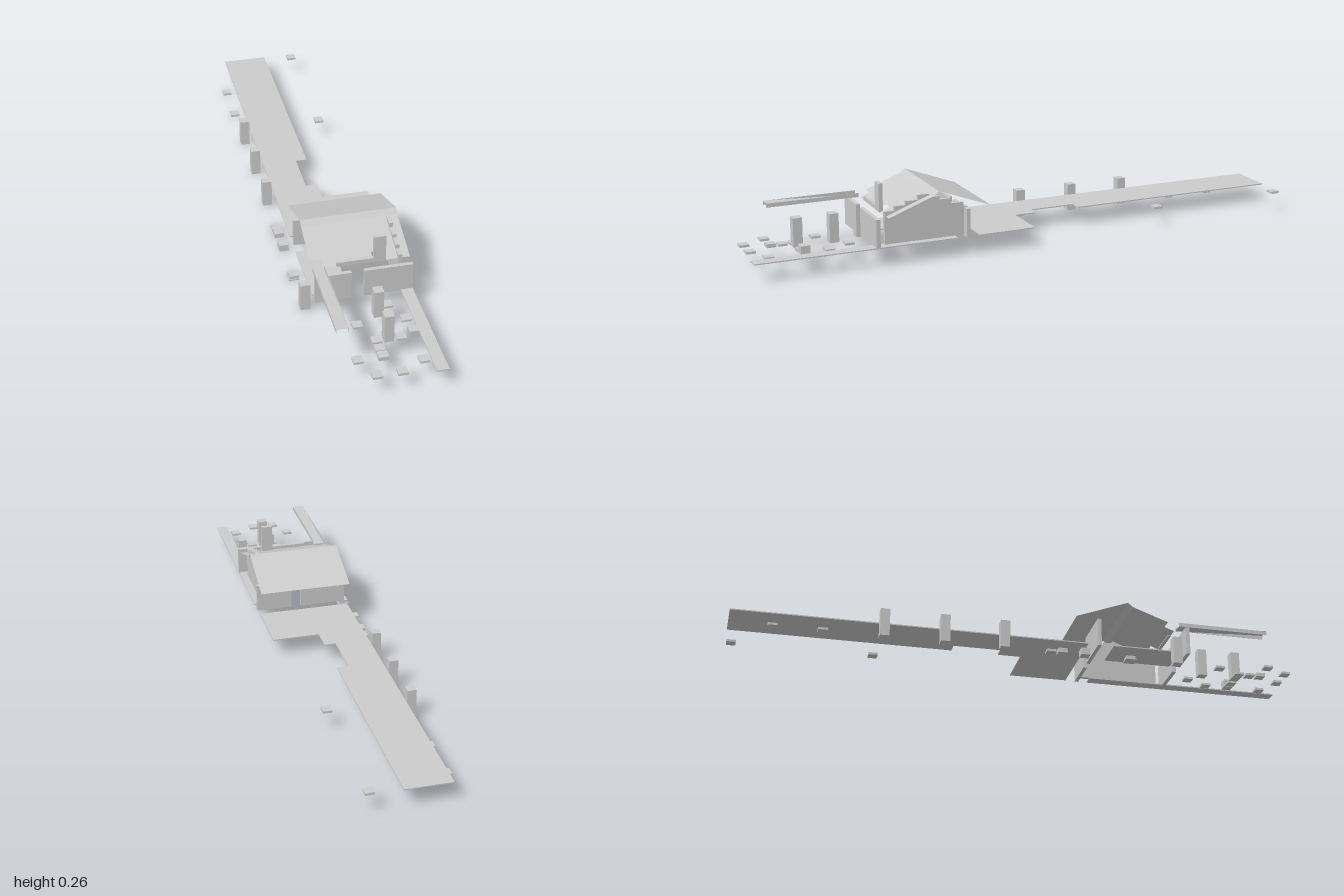
import * as THREE from 'three';

export function createModel() {
  const group = new THREE.Group();
  const stone = new THREE.MeshStandardMaterial({ color: 0xcccccc, side: THREE.DoubleSide });
  stone.name = 'paleStone';

  // Box given by its limits on each axis
  function box(name, x0, x1, y0, y1, z0, z1) {
    const m = new THREE.Mesh(new THREE.BoxGeometry(x1 - x0, y1 - y0, z1 - z0), stone);
    m.position.set((x0 + x1) / 2, (y0 + y1) / 2, (z0 + z1) / 2);
    m.name = name;
    group.add(m);
  }

  // Sloping sheet between two lines across x, given as [y, z] back and front
  function sheet(name, x0, x1, [yb, zb], [yf, zf]) {
    const g = new THREE.BufferGeometry();
    g.setAttribute('position', new THREE.Float32BufferAttribute(
      [x0, yb, zb, x0, yf, zf, x1, yf, zf, x1, yb, zb], 3));
    g.setIndex([0, 1, 2, 0, 2, 3]);
    g.computeVertexNormals();
    const m = new THREE.Mesh(g, stone);
    m.name = name;
    group.add(m);
  }

  // Walkway and yard floor, one outline with notches
  const plan = [[-0.145, -1], [0.015, -1], [0.015, -0.23], [-0.025, -0.23], [-0.025, -0.065],
    [0.015, -0.065], [0.015, 0.015], [0.18, 0.015], [0.18, 0.22], [-0.145, 0.22]];
  const floorGeo = new THREE.ExtrudeGeometry(
    new THREE.Shape(plan.map(([x, z]) => new THREE.Vector2(x, -z))), { depth: 0.004, bevelEnabled: false });
  floorGeo.rotateX(-Math.PI / 2).translate(0, 0.062, 0);
  const walkway = new THREE.Mesh(floorGeo, stone);
  walkway.name = 'walkway';
  group.add(walkway);
  box('houseFloor', -0.145, -0.02, 0.062, 0.066, 0.31, 0.55);
  box('sidePath', 0.143, 0.183, 0.062, 0.066, 0.3, 1);

  // Front and rear walls with doorways
  box('frontWallRight', -0.143, -0.022, 0.062, 0.162, 0.574, 0.588);
  box('frontWallLeft', 0.02, 0.183, 0.062, 0.162, 0.574, 0.588);
  box('innerWall', -0.062, 0.062, 0.162, 0.177, 0.535, 0.547);
  box('chimney', 0.061, 0.101, 0.162, 0.26, 0.535, 0.549);
  box('rearWallRight', -0.143, 0.02, 0.062, 0.162, 0.255, 0.268);
  box('rearWallLeft', 0.055, 0.183, 0.062, 0.162, 0.255, 0.268);

  // Stepped gable wall
  const steps = [[0.55, 0.178], [0.515, 0.193], [0.475, 0.206], [0.432, 0.222],
    [0.39, 0.21], [0.355, 0.198], [0.315, 0.18], [0.27, 0.165]];
  const gable = new THREE.Shape();
  gable.moveTo(-0.55, 0.064);
  steps.forEach(([z, y], i) => {
    gable.lineTo(-z, y);
    gable.lineTo(-(i < steps.length - 1 ? steps[i + 1][0] : 0.255), y);
  });
  gable.lineTo(-0.255, 0.064);
  const gableGeo = new THREE.ExtrudeGeometry(gable, { depth: 0.013, bevelEnabled: false });
  gableGeo.rotateY(Math.PI / 2).translate(0.143, 0, 0);
  const gableWall = new THREE.Mesh(gableGeo, stone);
  gableWall.name = 'steppedGable';
  group.add(gableWall);

  // Thin roof: rear slope, steep cap, front slope with notched eave
  const notch = [0.175, 0.51];
  sheet('rearRoof', -0.143, 0.183, [0.165, 0.18], [0.235, 0.367]);
  sheet('roofCap', -0.143, 0.183, [0.235, 0.367], [0.22, 0.385]);
  sheet('frontRoof', -0.143, 0.183, [0.22, 0.385], notch);
  sheet('eaveMiddle', -0.103, 0.061, notch, [0.162, 0.545]);
  sheet('eaveLeft', 0.101, 0.183, notch, [0.162, 0.545]);

  // Raised canopy strip with side skirts
  sheet('canopy', -0.143, -0.103, [0.162, 0.55], [0.178, 0.875]);
  for (const x of [-0.143, -0.104]) box('canopySkirt', x, x + 0.001, 0.163, 0.177, 0.55, 0.875);

  // Square posts and stones: x, z, bottom, top
  function block(name, x, z, y0, y1, w = 0.032) {
    box(name, x - w / 2, x + w / 2, y0, y1, z - w / 2, z + w / 2);
  }
  for (const z of [-0.49, -0.285, -0.08, 0.53]) block('sidePost', -0.165, z, 0.005, 0.103);
  for (const [z, top] of [[-0.86, 0.012], [-0.695, 0.012], [0.08, 0.012], [0.12, 0.02], [0.2, 0.028], [0.36, 0.015]])
    block('groundStone', -0.165, z, 0.004, top);
  block('baseSlab', -0.165, 0.36, 0, 0.004, 0.039);

  block('yardPost', 0.038, 0.69, 0.062, 0.162);
  block('yardPost', 0.038, 0.815, 0.062, 0.162);
  block('yardBlock', 0.12, 0.815, 0.062, 0.09);
  const stones = [[-0.04, 0.73], [0.08, 0.65], [0.12, 0.73], [0, 0.815], [0.08, 0.815],
    [0, 0.855], [0, 0.895], [-0.08, 0.895], [-0.04, 0.975], [0.04, 0.975], [0.12, 0.935],
    [0.12, -0.49], [0.12, -0.98]];
  for (const [x, z] of stones) block('yardStone', x, z, 0.06, z === 0.895 && x === 0 ? 0.073 : 0.068);

  return group;
}
